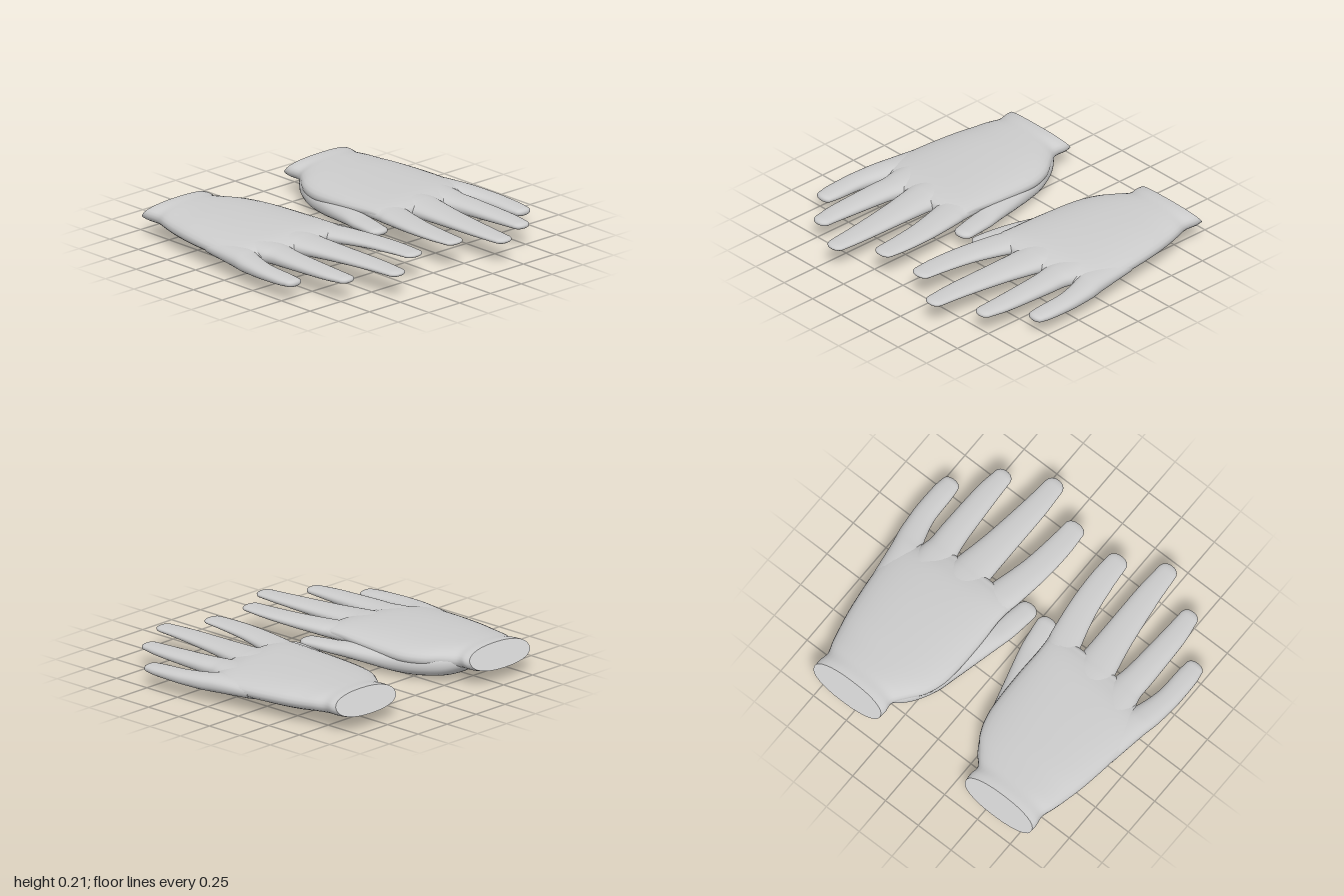
import * as THREE from 'three';

const SIDES = 32; // points around each cross-section
const STEPS = 5; // interpolated rings between two given rows
const material = new THREE.MeshStandardMaterial({ color: 0xcccccc });

// Cross-section rows from wrist to tip: [z, xInner, xOuter, yBottom, yTop, roll, shear]
const parts = {
  palm: { tip: 0.185, rows: [
    [-0.895, 0.325, 0.83, 0.08, 0.21, 0, 0.77],
    [-0.85, 0.32, 0.83, 0.07, 0.212, 0, 0.6],
    [-0.78, 0.325, 0.82, 0.065, 0.21, 0, 0.3],
    [-0.7, 0.27, 0.845, 0.06, 0.21],
    [-0.6, 0.2, 0.87, 0.05, 0.21],
    [-0.45, 0.155, 0.9, 0.045, 0.21],
    [-0.2, 0.145, 0.93, 0.055, 0.207, -0.02],
    [0, 0.15, 0.93, 0.073, 0.2, -0.04],
    [0.1, 0.15, 0.84, 0.085, 0.19, -0.05],
    [0.15, 0.17, 0.77, 0.095, 0.18, -0.05]] },
  thumb: { tip: 0.235, rows: [
    [-0.82, 0.38, 0.56, 0.09, 0.16],
    [-0.7, 0.26, 0.58, 0.025, 0.18],
    [-0.55, 0.18, 0.56, 0.002, 0.17],
    [-0.4, 0.14, 0.5, 0.002, 0.155],
    [-0.25, 0.1, 0.4, 0.025, 0.145],
    [-0.1, 0.06, 0.27, 0.05, 0.14],
    [0, 0.035, 0.19, 0.062, 0.132],
    [0.1, 0.02, 0.16, 0.07, 0.13],
    [0.18, 0.01, 0.14, 0.076, 0.126]] },
  indexFinger: { tip: 0.79, rows: [
    [-0.1, 0.16, 0.4, 0.1, 0.19],
    [0.1, 0.145, 0.37, 0.1, 0.188],
    [0.18, 0.13, 0.335, 0.107, 0.187],
    [0.4, 0.1, 0.275, 0.122, 0.184],
    [0.6, 0.09, 0.245, 0.133, 0.18],
    [0.74, 0.097, 0.232, 0.14, 0.176]] },
  middleFinger: { tip: 0.935, rows: [
    [-0.1, 0.34, 0.62, 0.09, 0.2],
    [0.1, 0.345, 0.615, 0.088, 0.195],
    [0.18, 0.358, 0.6, 0.092, 0.19],
    [0.4, 0.36, 0.555, 0.105, 0.18],
    [0.7, 0.36, 0.513, 0.117, 0.17],
    [0.88, 0.37, 0.495, 0.122, 0.162]] },
  ringFinger: { tip: 0.79, rows: [
    [-0.1, 0.58, 0.84, 0.08, 0.19],
    [0.1, 0.59, 0.815, 0.077, 0.182],
    [0.18, 0.605, 0.8, 0.08, 0.177],
    [0.3, 0.625, 0.8, 0.087, 0.172],
    [0.6, 0.645, 0.79, 0.1, 0.16],
    [0.74, 0.652, 0.77, 0.108, 0.153]] },
  littleFinger: { tip: 0.56, rows: [
    [-0.25, 0.7, 0.925, 0.07, 0.165],
    [0, 0.75, 0.962, 0.06, 0.168],
    [0.1, 0.805, 0.982, 0.062, 0.16],
    [0.2, 0.84, 0.993, 0.066, 0.152],
    [0.3, 0.86, 1, 0.07, 0.145],
    [0.45, 0.865, 0.998, 0.075, 0.136],
    [0.52, 0.872, 0.988, 0.08, 0.13]] },
};

// Smooth loft through the rows, with a rounded tip and a flat cap at the start
function loft({ rows, tip }, side) {
  const spline = (fn) => new THREE.CatmullRomCurve3(
    rows.map((r) => new THREE.Vector3(...fn(r))), false, 'catmullrom');
  const centre = spline(([z, x0, x1, y0, y1]) => [(x0 + x1) / 2, (y0 + y1) / 2, z]);
  const size = spline(([, x0, x1, y0, y1]) => [(x1 - x0) / 2, (y1 - y0) / 2, 0]);
  const slant = spline(([, , , , , roll = 0, shear = 0]) => [roll, shear, 0]);

  const rings = [];
  const n = (rows.length - 1) * STEPS;
  for (let i = 0; i <= n; i++) {
    rings.push({ c: centre.getPoint(i / n), s: size.getPoint(i / n), k: slant.getPoint(i / n) });
  }
  const last = rings[n];
  const tipLength = tip - last.c.z;
  for (let i = 1; i < 7; i++) {
    const a = (i / 7) * Math.PI / 2;
    const c = last.c.clone();
    c.z += tipLength * Math.sin(a);
    rings.push({ c, s: last.s.clone().multiplyScalar(Math.cos(a) ** 0.85), k: last.k });
  }

  const positions = [];
  const indices = [];
  const tri = (a, b, c) => indices.push(...(side > 0 ? [a, b, c] : [a, c, b]));
  const bend = (v) => Math.sign(v) * Math.abs(v) ** 0.87;
  const addRing = ({ c, s, k }) => {
    for (let j = 0; j < SIDES; j++) {
      const a = (j / SIDES) * Math.PI * 2;
      const dx = s.x * bend(Math.cos(a));
      const dy = s.y * bend(Math.sin(a));
      positions.push(side * (c.x + dx), c.y + dy + k.x * dx, c.z + k.y * dy);
    }
  };
  rings.forEach(addRing);
  for (let i = 0; i < rings.length - 1; i++) {
    for (let j = 0; j < SIDES; j++) {
      const a = i * SIDES + j;
      const b = i * SIDES + (j + 1) % SIDES;
      tri(a, b, a + SIDES);
      tri(b, b + SIDES, a + SIDES);
    }
  }

  // tip point
  const pole = positions.length / 3;
  const end = (rings.length - 1) * SIDES;
  positions.push(side * last.c.x, last.c.y, tip);
  // start cap on its own vertices, so its rim stays sharp
  const cap = pole + 1;
  addRing(rings[0]);
  const hub = cap + SIDES;
  positions.push(side * rings[0].c.x, rings[0].c.y, rings[0].c.z);
  for (let j = 0; j < SIDES; j++) {
    const next = (j + 1) % SIDES;
    tri(end + j, end + next, pole);
    tri(cap + next, cap + j, hub);
  }

  const geometry = new THREE.BufferGeometry();
  geometry.setAttribute('position', new THREE.Float32BufferAttribute(positions, 3));
  geometry.setIndex(indices);
  geometry.computeVertexNormals();
  return geometry;
}

export function createModel() {
  const model = new THREE.Group();
  model.name = 'pairOfHands';
  for (const [name, side] of [['leftHand', 1], ['rightHand', -1]]) {
    const hand = new THREE.Group();
    hand.name = name;
    for (const [part, shape] of Object.entries(parts)) {
      const mesh = new THREE.Mesh(loft(shape, side), material);
      mesh.name = part;
      hand.add(mesh);
    }
    model.add(hand);
  }
  return model;
}
